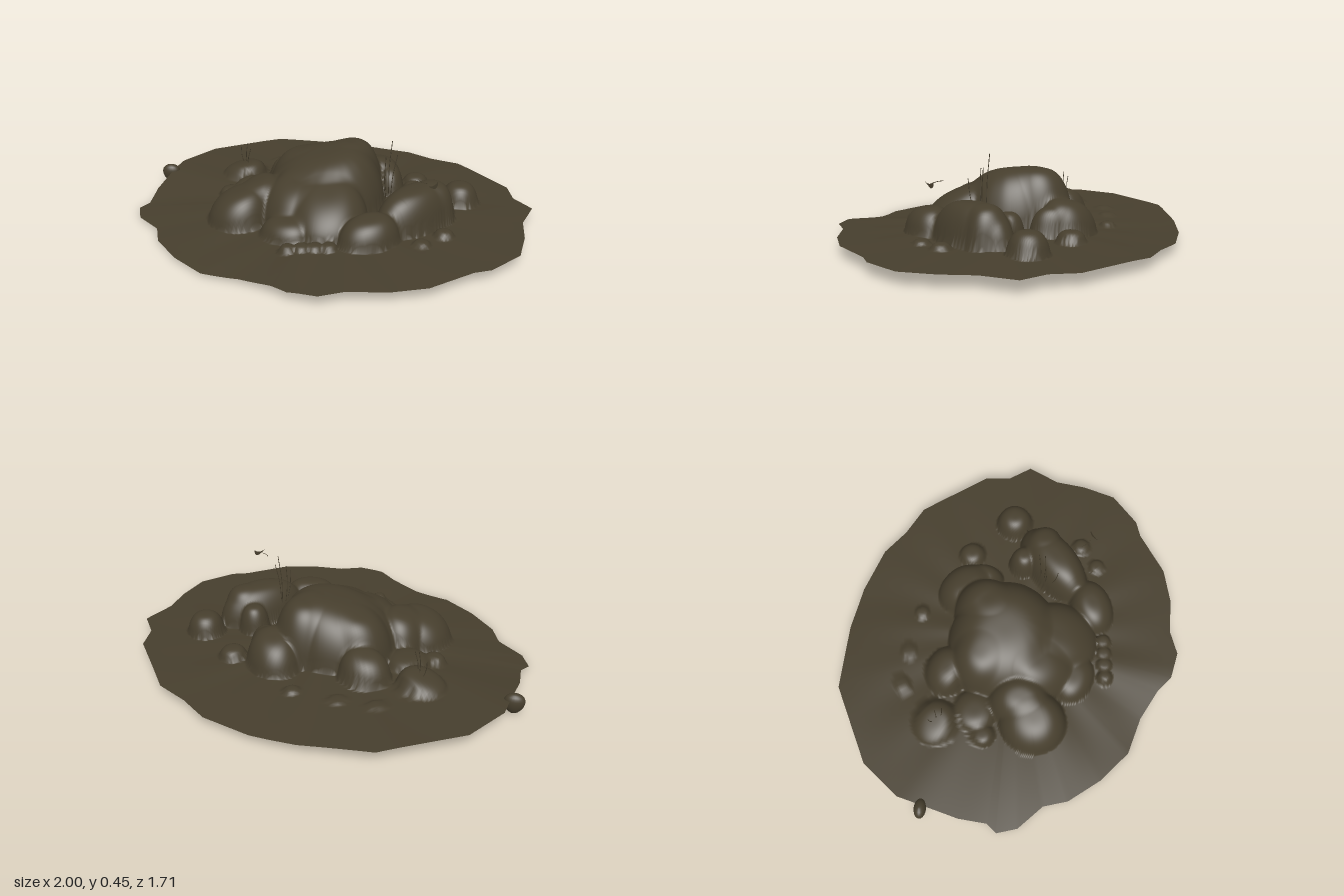
import * as THREE from 'three';

// Outline of the ground sheet: x, z
const OUTLINE = [
  [-.36, -.86], [-.03, -.855], [.19, -.82], [.42, -.74], [.545, -.64], [.69, -.56], [.8, -.4],
  [.915, -.235], [.925, -.105], [1, .01], [.925, .165], [.905, .32], [.855, .485], [.71, .615],
  [.63, .64], [.43, .77], [.26, .81], [.085, .81], [-.03, .85], [-.16, .82], [-.235, .755],
  [-.38, .675], [-.56, .62], [-.705, .49], [-.82, .335], [-.855, .215], [-.97, .1], [-1, 0],
  [-.96, -.05], [-.95, -.19], [-.875, -.49], [-.73, -.675],
];

// Large boulders: x, z, radius x, radius z, turn, top height, slope x, slope z
const BOULDERS = [
  [-.05, -.04, .31, .29, .2, .34, .2, -.05],
  [.08, -.13, .17, .19, .3, .355, .05, 0],
  [-.16, -.14, .18, .17, 0, .31, .15, 0],
  [-.02, .22, .2, .21, 0, .25, .05, -.35],
  [-.17, .13, .18, .2, 0, .26, .1, -.25],
  [-.45, .13, .16, .17, .3, .2, .25, 0],
  [-.36, .06, .13, .16, 0, .23, .2, 0],
  [-.21, .32, .13, .1, .4, .14, .1, -.1],
  [-.23, -.32, .13, .11, .2, .2, .1, .2],
  [.22, -.27, .13, .15, -.6, .22, 0, .2],
  [.28, -.2, .08, .12, -.2, .2, 0, 0],
  [.4, .18, .24, .13, -.72, .25, .03, 0],
  [.49, .12, .1, .11, -.72, .245, 0, 0],
  [.18, .39, .15, .11, -.4, .19, .05, -.1],
  [-.5, -.35, .12, .11, .4, .14, .2, .1],
];

// Small round stones: x, z, radius, top height
const STONES = [
  [.4, .02, .078, .2], [.64, -.05, .095, .17], [-.54, -.11, .06, .1],
  [-.42, -.16, .11, .12], [.43, -.26, .07, .12], [-.32, -.54, .045, .085], [-.14, -.53, .045, .083],
  [.08, -.49, .04, .083], [.53, .32, .048, .095], [.42, .41, .043, .085],
];
// Row of pebbles along the front
for (let i = 0; i < 4; i++) STONES.push([-.19 + i * .063, .48 - i * .006, .04, .09]);

const ROCKS = [...BOULDERS, ...STONES.map(([x, z, r, top]) => [x, z, r, r, 0, top, 0, 0])];

// Rounded blend of two heights, so rocks merge with a soft seam
function blend(a, b, k) {
  const h = Math.max(k - Math.abs(a - b), 0) / k;
  return Math.max(a, b) + h * h * k * 0.25;
}

// How far a rim point lies towards a given direction, eased from 0 to 1
function towards(x, z, dx, dz, from, to) {
  return THREE.MathUtils.smoothstep((dx * x + dz * z) / Math.hypot(x, z), from, to);
}

// The rim dips at the front right, lifts at the back right and sags at the back
function rimHeight(x, z) {
  return 0.061 - 0.045 * towards(x, z, -0.87, 0.45, 0.55, 0.92)
    + 0.018 * towards(x, z, -0.66, -0.75, 0.6, 0.95)
    - 0.012 * towards(x, z, 0.25, -0.97, 0.7, 1);
}

function terrainHeight(x, z, ground) {
  let y = ground;
  for (const [cx, cz, rx, rz, turn, top, sx, sz] of ROCKS) {
    const dx = x - cx, dz = z - cz, c = Math.cos(turn), s = Math.sin(turn);
    const d = Math.hypot((dx * c + dz * s) / rx, (dz * c - dx * s) / rz);
    if (d >= 1) continue;
    const rise = (top + sx * dx + sz * dz - ground) * Math.pow(1 - Math.pow(d, 3.2), 0.62);
    if (rise > 0) y = blend(y, ground + rise, Math.min(0.025, rise));
  }
  return y;
}

// Ground sheet with rocks pushed up through it, open underneath
function terrainGeometry() {
  const rings = 110, split = 10, cols = OUTLINE.length * split;
  const positions = [], index = [];
  for (let i = 0; i <= rings; i++) {
    const t = i / rings;
    for (let j = 0; j < cols; j++) {
      const side = Math.floor(j / split), f = (j % split) / split;
      const a = OUTLINE[side], b = OUTLINE[(side + 1) % OUTLINE.length];
      const ex = THREE.MathUtils.lerp(a[0], b[0], f);
      const ez = THREE.MathUtils.lerp(a[1], b[1], f);
      const angle = Math.atan2(ez, ex);
      const ripple = 0.005 * Math.sin(angle * 11) * Math.sin(angle * 4 + 1) * Math.sin(Math.PI * t);
      const ground = THREE.MathUtils.lerp(0.068, rimHeight(ex, ez), t * t) + ripple;
      positions.push(ex * t, terrainHeight(ex * t, ez * t, ground), ez * t);
      if (i < rings) {
        const p = i * cols + j, q = i * cols + (j + 1) % cols;
        index.push(p, q + cols, p + cols);
        if (i > 0) index.push(p, q, q + cols);
      }
    }
  }
  const g = new THREE.BufferGeometry();
  g.setAttribute('position', new THREE.Float32BufferAttribute(positions, 3));
  g.setIndex(index);
  g.computeVertexNormals();
  return g;
}

// Thin bent stem running from foot to tip
function stem(foot, tip, radius, material) {
  const a = new THREE.Vector3(...foot), b = new THREE.Vector3(...tip);
  const mid = a.clone().lerp(b, 0.5).add(new THREE.Vector3(-0.006, 0, 0.004));
  const mesh = new THREE.Mesh(
    new THREE.TubeGeometry(new THREE.CatmullRomCurve3([a, mid, b]), 8, radius, 4), material);
  mesh.name = 'stem';
  return mesh;
}

export function createModel() {
  const earth = new THREE.MeshStandardMaterial({ color: 0x463e2d, side: THREE.DoubleSide });
  earth.name = 'earth brown';

  const model = new THREE.Group();
  model.name = 'rockyMound';

  const terrain = new THREE.Mesh(terrainGeometry(), earth);
  terrain.name = 'groundAndBoulders';
  model.add(terrain);

  // Loose pebble over the rim
  const pebbleGeometry = new THREE.SphereGeometry(1, 20, 14);
  const p = pebbleGeometry.attributes.position;
  for (let i = 0; i < p.count; i++) {
    const taper = 0.85 + 0.2 * p.getY(i);
    p.setXYZ(i, p.getX(i) * 0.055 * taper, p.getY(i) * 0.052, p.getZ(i) * 0.034 * taper);
  }
  pebbleGeometry.computeVertexNormals();
  const pebble = new THREE.Mesh(pebbleGeometry, earth);
  pebble.name = 'rimPebble';
  pebble.position.set(-0.92, 0.053, -0.375);
  model.add(pebble);

  // Tall stems between the boulders and a short tuft at the back
  const tufts = [
    { name: 'tallStems', feet: [.265, .18, .14],
      tips: [[.285, .45, .1], [.255, .38, .14], [.31, .39, .13], [.25, .33, .2]] },
    { name: 'shortTuft', feet: [-.49, .12, -.35],
      tips: [[-.48, .25, -.34], [-.52, .22, -.37], [-.46, .23, -.31]] },
  ];
  for (const { name, feet, tips } of tufts) {
    const tuft = new THREE.Group();
    tuft.name = name;
    for (const tip of tips) {
      // Each foot stands partly under its own tip
      const foot = [THREE.MathUtils.lerp(feet[0], tip[0], 0.4), feet[1],
        THREE.MathUtils.lerp(feet[2], tip[2], 0.6)];
      tuft.add(stem(foot, tip, 0.0018, earth));
    }
    model.add(tuft);
  }

  // Small curled leaf in the air with its stalk
  const leafShape = new THREE.Shape();
  leafShape.moveTo(-0.035, 0.008);
  leafShape.quadraticCurveTo(-0.012, -0.01, 0.005, -0.017);
  leafShape.quadraticCurveTo(0.03, -0.015, 0.025, 0.015);
  leafShape.quadraticCurveTo(0, -0.008, -0.035, 0.008);
  const leaf = new THREE.Mesh(new THREE.ShapeGeometry(leafShape, 6), earth);
  leaf.name = 'curledLeaf';
  leaf.position.set(0.465, 0.34, 0.365);
  leaf.rotation.y = 0.7;
  const stalk = stem([.4, .345, .31], [.44, .343, .35], 0.0015, earth);
  stalk.name = 'leafStalk';
  model.add(leaf, stalk);

  return model;
}
